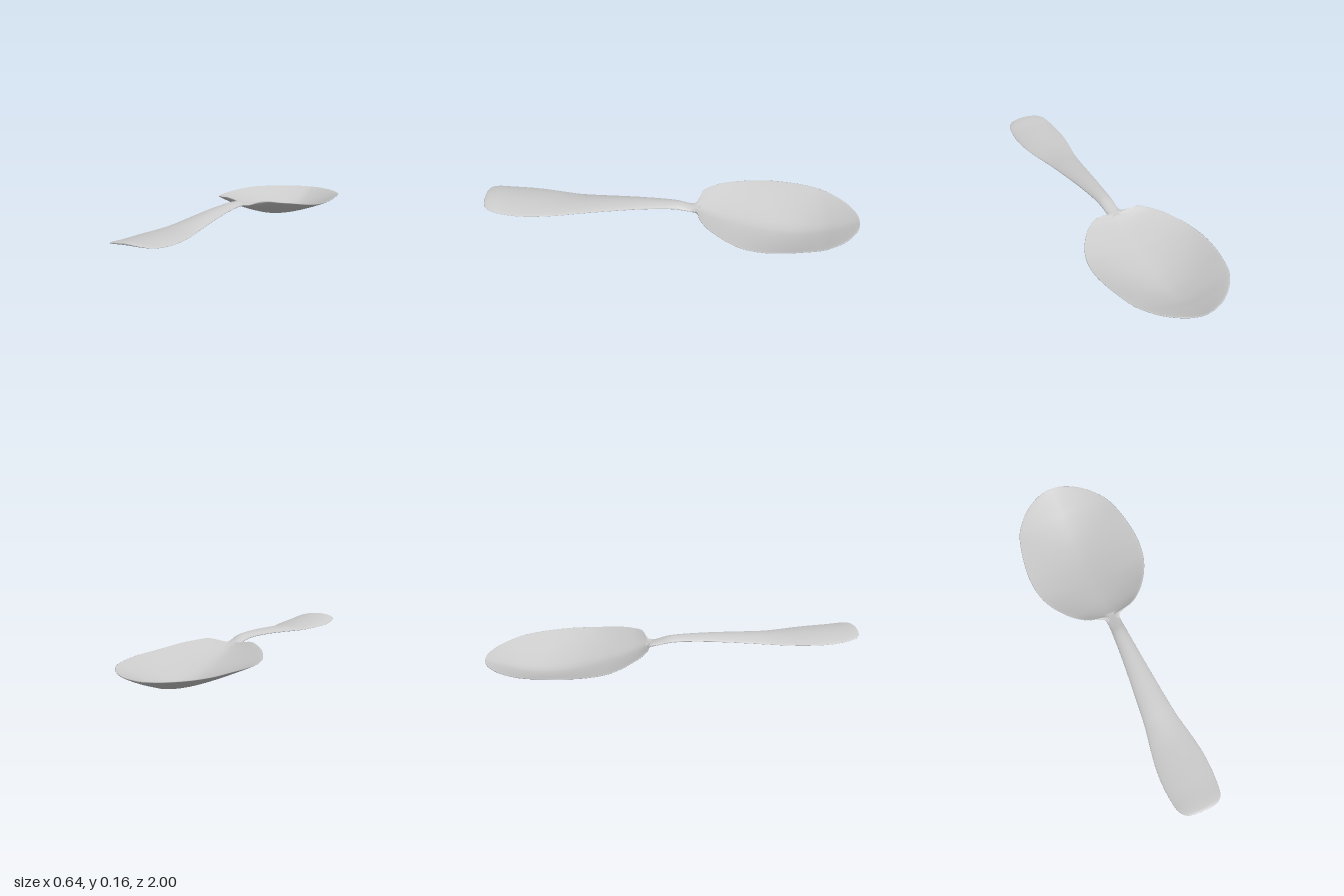
import * as THREE from 'three';

const material = new THREE.MeshStandardMaterial({ color: 0xcccccc, side: THREE.DoubleSide });

// Lofts a curved, rounded sheet through stations of
// [z, half width, edge height, centre height, half thickness], ordered towards -z.
// bend shapes the arch across the width, round shapes the rim.
function loft(name, stations, bend, round, steps = 6, sides = 48) {
  const outline = new THREE.CatmullRomCurve3(
    stations.map(([z, w, , , t]) => new THREE.Vector3(w, t, z)), false, 'catmullrom', 0.5);
  const heights = new THREE.SplineCurve(
    stations.map(([, , edge, centre]) => new THREE.Vector2(edge, centre)));
  const rows = (stations.length - 1) * steps;
  const positions = [], index = [];
  for (let i = 0; i <= rows; i++) {
    const { x: w, y: t, z } = outline.getPoint(i / rows);
    const { x: edge, y: centre } = heights.getPoint(i / rows);
    for (let j = 0; j < sides; j++) {
      const a = (j / sides) * Math.PI * 2;
      const u = Math.cos(a), s = Math.sin(a);
      const middle = centre + (edge - centre) * Math.abs(u) ** bend;
      positions.push(w * u, middle + t * Math.sign(s) * Math.abs(s) ** round, z);
      if (i < rows) {
        const k = i * sides, n = (j + 1) % sides;
        index.push(k + j, k + sides + j, k + n, k + n, k + sides + j, k + sides + n);
      }
    }
  }
  const geometry = new THREE.BufferGeometry();
  geometry.setAttribute('position', new THREE.Float32BufferAttribute(positions, 3));
  geometry.setIndex(index);
  geometry.computeVertexNormals();
  const mesh = new THREE.Mesh(geometry, material);
  mesh.name = name;
  return mesh;
}

export function createModel() {
  const group = new THREE.Group();
  group.name = 'spoon';

  // Arched handle: broad rounded end narrowing to the neck
  group.add(loft('handle', [
    [1.0, 0.003, 0.138, 0.138, 0.001],
    [0.998, 0.05, 0.135, 0.138, 0.004],
    [0.985, 0.09, 0.130, 0.137, 0.007],
    [0.95, 0.116, 0.122, 0.134, 0.009],
    [0.88, 0.128, 0.113, 0.128, 0.010],
    [0.79, 0.132, 0.109, 0.124, 0.010],
    [0.7, 0.126, 0.109, 0.121, 0.010],
    [0.6, 0.110, 0.110, 0.120, 0.010],
    [0.5, 0.091, 0.114, 0.124, 0.011],
    [0.4, 0.078, 0.122, 0.133, 0.011],
    [0.2, 0.058, 0.138, 0.147, 0.011],
    [0.05, 0.045, 0.144, 0.152, 0.011],
    [-0.03, 0.040, 0.142, 0.150, 0.011],
    [-0.08, 0.037, 0.134, 0.139, 0.010],
    [-0.12, 0.037, 0.128, 0.129, 0.009],
    [-0.16, 0.036, 0.122, 0.122, 0.007],
  ], 2, 1));

  // Bowl: raised shoulders at the neck, deepest past the middle
  group.add(loft('bowl', [
    [-0.105, 0.034, 0.130, 0.132, 0.007],
    [-0.135, 0.045, 0.132, 0.125, 0.008],
    [-0.15, 0.080, 0.142, 0.119, 0.008],
    [-0.162, 0.130, 0.149, 0.114, 0.007],
    [-0.2, 0.183, 0.141, 0.097, 0.007],
    [-0.25, 0.228, 0.133, 0.080, 0.006],
    [-0.32, 0.272, 0.120, 0.060, 0.006],
    [-0.4, 0.304, 0.110, 0.040, 0.006],
    [-0.5, 0.319, 0.107, 0.020, 0.006],
    [-0.6, 0.314, 0.107, 0.008, 0.006],
    [-0.7, 0.297, 0.107, 0.008, 0.006],
    [-0.8, 0.268, 0.103, 0.024, 0.006],
    [-0.88, 0.216, 0.098, 0.047, 0.006],
    [-0.94, 0.155, 0.095, 0.066, 0.006],
    [-0.98, 0.090, 0.093, 0.081, 0.005],
    [-0.996, 0.040, 0.092, 0.088, 0.004],
    [-1.0, 0.003, 0.091, 0.091, 0.001],
  ], 1.4, 0.6));

  return group;
}
